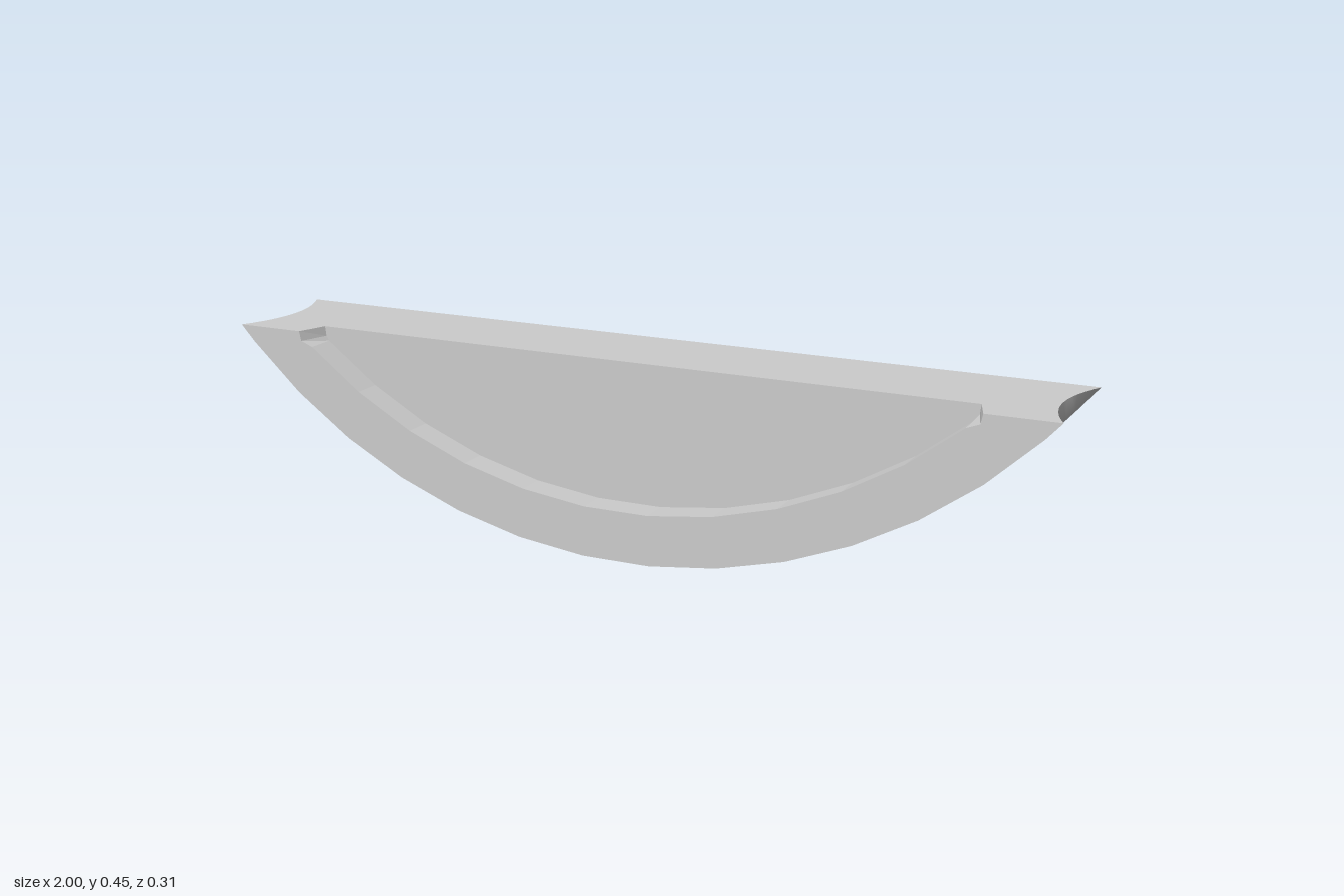
import * as THREE from 'three';

const H = 0.445, R = 1.341, CENTER_Y = 1.338, Z = 0.156, FLOOR_Z = 0.085;
const STEP = 0.1235, HOLLOW = 0.043;
const smooth = new THREE.MeshStandardMaterial({ color: 0xcccccc, side: THREE.DoubleSide });
const flat = new THREE.MeshStandardMaterial({ color: 0xcccccc, side: THREE.DoubleSide, flatShading: true });

// Right half of the rim from bottom to tip; the tip is cut by an upright hollow
function halfRim(z) {
  const points = [];
  for (let i = 0; i < 6; i++) {
    const a = (i + 0.5) * STEP;
    points.push([R * Math.sin(a), CENTER_Y - R * Math.cos(a), z]);
  }
  const tipX = 1 - HOLLOW * (1 - (z / Z) ** 2);
  const footX = Math.min(tipX, R * Math.sin(6.5 * STEP));
  points.push([footX, CENTER_Y - Math.sqrt(R * R - footX * footX), z], [tipX, H, z]);
  return points;
}

// Whole row from left to right by mirroring one half
const mirrored = half => [...half.map(([x, y, z]) => [-x, y, z]).reverse(), ...half];
const rimRow = z => mirrored(halfRim(z));

// Recess outline; the short end pieces lean inward towards the floor
function recessRow(z, topX, sideX) {
  const r = 1.231, half = [], step = Math.asin(0.8 / r) / 5.5;
  for (let i = 0; i < 6; i++) {
    const a = (i + 0.5) * step;
    half.push([r * Math.sin(a), 1.346 - r * Math.cos(a), z]);
  }
  half.push([sideX, 0.422, z], [topX, H, z]);
  return mirrored(half);
}

// Surface lofted through rows of equal length
function loft(rows) {
  const n = rows[0].length, index = [];
  for (let j = 0; j < rows.length - 1; j++) {
    for (let i = 0; i < n - 1; i++) {
      const a = j * n + i, b = a + n;
      index.push(a, b, a + 1, a + 1, b, b + 1);
    }
  }
  const g = new THREE.BufferGeometry();
  g.setAttribute('position', new THREE.Float32BufferAttribute(rows.flat(2), 3));
  g.setIndex(index);
  g.computeVertexNormals();
  return g;
}

const plate = points => new THREE.ShapeGeometry(
  new THREE.Shape(points.map(([x, y]) => new THREE.Vector2(x, y))));

export function createModel() {
  const group = new THREE.Group();
  const add = (name, geometry, material = flat) => {
    const mesh = new THREE.Mesh(geometry, material);
    mesh.name = name;
    group.add(mesh);
  };

  // Curved rim with hollowed tips
  const rows = [];
  for (let j = 0; j <= 12; j++) rows.push(rimRow(Z - (2 * Z * j) / 12));
  add('curvedRim', loft(rows), smooth);

  // Back face
  add('backFace', plate(rimRow(-Z)).rotateY(Math.PI).translate(0, 0, -Z));

  // Front border, recess wall and recess floor
  const lip = recessRow(Z, 0.835, 0.83);
  const foot = recessRow(FLOOR_Z, 0.81, 0.807);
  add('frontBorder', plate([...rimRow(Z), ...[...lip].reverse()]).translate(0, 0, Z));
  add('recessWall', loft([foot, lip]));
  add('recessFloor', plate(foot).translate(0, 0, FLOOR_Z));

  // Flat top with hollowed ends and the open side of the recess
  const side = rows.map(row => [row[row.length - 1][0], -row[0][2]]);
  const outline = [
    ...side,
    ...side.map(([x, z]) => [-x, z]).reverse(),
    [-0.835, -Z], [-0.81, -FLOOR_Z], [0.81, -FLOOR_Z], [0.835, -Z],
  ];
  add('flatTop', plate(outline).rotateX(-Math.PI / 2).translate(0, H, 0));
  return group;
}
